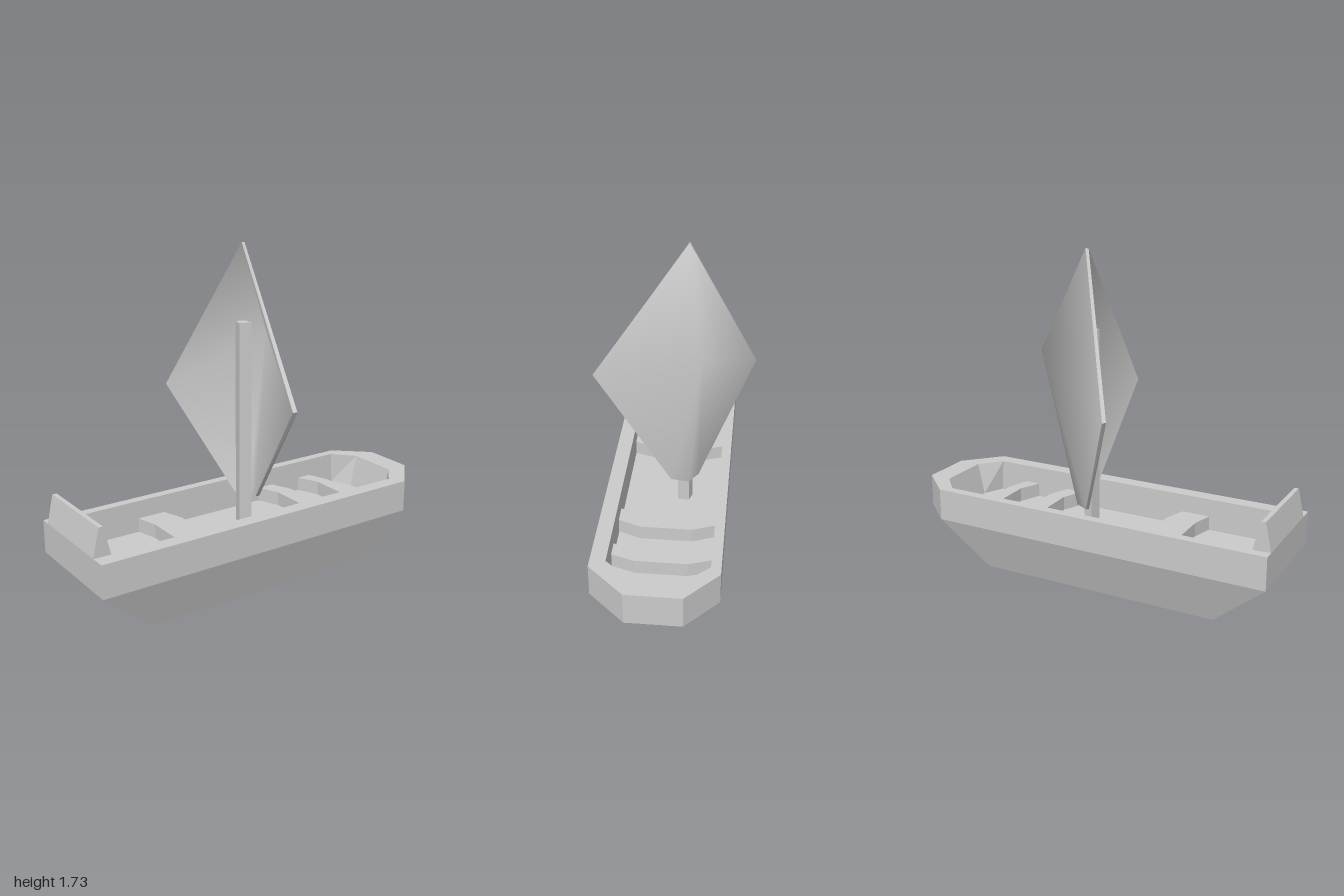
import * as THREE from 'three';

const grey = new THREE.MeshStandardMaterial({ color: 0xcccccc });

function add(group, name, geometry) {
  const mesh = new THREE.Mesh(geometry, grey);
  mesh.name = name;
  group.add(mesh);
}

function indexed(points, index) {
  const g = new THREE.BufferGeometry();
  g.setAttribute('position', new THREE.Float32BufferAttribute(points.flat(), 3));
  g.setIndex(index);
  return g;
}

function withNormals(g) {
  g.computeVertexNormals();
  return g;
}

const flat = g => withNormals(g.toNonIndexed());
const outline = points => new THREE.Shape(points.map(p => new THREE.Vector2(...p)));

// Horizontal slab from a plan outline of [x, z] points, hanging down from the top height
function slab(points, top, depth) {
  return new THREE.ExtrudeGeometry(outline(points), { depth, bevelEnabled: false })
    .rotateX(Math.PI / 2).translate(0, top, 0);
}

// Boat outline at one height: square stern, chamfered bow
function ring(y, stern, shoulder, bow, zNear, zFar, halfBow) {
  return [
    [stern, y, zNear], [shoulder, y, zNear], [bow, y, halfBow],
    [bow, y, -halfBow], [shoulder, y, zFar], [stern, y, zFar],
  ];
}

function hullGeometry() {
  const rings = [
    ring(0, -0.71, 0.59, 0.71, 0.238, -0.203, 0.1),        // keel
    ring(0.26, -1, 0.825, 1, 0.323, -0.297, 0.137),        // chine
    ring(0.43, -1, 0.825, 1, 0.323, -0.297, 0.137),        // outer rim
    ring(0.43, -0.97, 0.78, 0.88, 0.246, -0.248, 0.137),   // inner rim
    ring(0.26, -0.97, 0.79, 0.84, 0.246, -0.248, 0.135),   // floor
  ];
  const n = 6, index = [];
  for (let r = 0; r < rings.length - 1; r++) {
    for (let i = 0; i < n; i++) {
      const a = r * n + i, b = r * n + (i + 1) % n;
      index.push(a, b, b + n, a, b + n, a + n);
    }
  }
  const last = (rings.length - 1) * n;
  for (let i = 1; i < n - 1; i++) {
    index.push(0, i + 1, i);
    index.push(last, last + i, last + i + 1);
  }
  return flat(indexed(rings.flat(), index));
}

// Bench bent towards the bow: extents at its ends and at its middle
function benchGeometry(end0, end1, mid0, mid1) {
  const w = 0.247, m = 0.13;
  return slab([
    [end0, -w], [end1, -w], [mid1, -m], [mid1, m],
    [end1, w], [end0, w], [mid0, m], [mid0, -m],
  ], 0.335, 0.08);
}

// Kite-shaped sail: outer skin, inner skin and a thin edge band
function createSail() {
  const outer = [
    [0.05, 1.73, -0.08],    // peak
    [0.015, 0.98, 0.41],    // front corner
    [0.085, 0.41, 0.005],   // foot, front
    [0.1, 0.41, -0.09],     // foot, middle
    [0.025, 0.41, -0.135],  // foot, back
    [-0.215, 0.98, -0.41],  // back corner
    [0.258, 1.23, -0.16],   // belly
  ];
  const shift = [[-0.017, 0], [-0.02, -0.01], [-0.02, -0.005], [-0.02, 0.005],
    [-0.01, 0.015], [-0.015, 0.012], [-0.02, 0.005]];
  const inner = outer.map(([x, y, z], i) => [x + shift[i][0], y, z + shift[i][1]]);
  const skin = [], back = [], band = [];
  for (let i = 0; i < 6; i++) {
    const j = (i + 1) % 6;
    skin.push(6, i, j);
    back.push(6, j, i);
    band.push(i, j + 7, j, i, i + 7, j + 7);
  }
  const sail = new THREE.Group();
  sail.name = 'sail';
  add(sail, 'sailOuterSkin', withNormals(indexed(outer, skin)));
  add(sail, 'sailInnerSkin', withNormals(indexed(inner, back)));
  add(sail, 'sailEdge', flat(indexed([...outer, ...inner], band)));
  return sail;
}

export function createModel() {
  const boat = new THREE.Group();
  boat.name = 'sailboat';

  add(boat, 'hull', hullGeometry());

  // Tapered board across the stern
  const profile = outline([
    [-0.98, 0.26], [-0.87, 0.26], [-0.91, 0.43], [-0.945, 0.575],
    [-0.968, 0.575], [-1, 0.43], [-0.98, 0.43],
  ]);
  add(boat, 'sternBoard', new THREE.ExtrudeGeometry(profile, { depth: 0.488, bevelEnabled: false })
    .translate(0, 0, -0.244));

  // Benches from stern to bow
  const benches = [
    [-0.5, -0.35, -0.47, -0.31],
    [0.26, 0.355, 0.31, 0.4],
    [0.54, 0.62, 0.59, 0.66],
  ];
  benches.forEach((b, i) => add(boat, 'bench' + (i + 1), benchGeometry(...b)));

  // Four-sided mast standing on the floor inside the fold of the sail
  add(boat, 'mast', slab([[-0.006, -0.045], [0.01, -0.103], [0.058, -0.088], [0.058, -0.028]],
    1.335, 1.08));

  boat.add(createSail());
  return boat;
}
